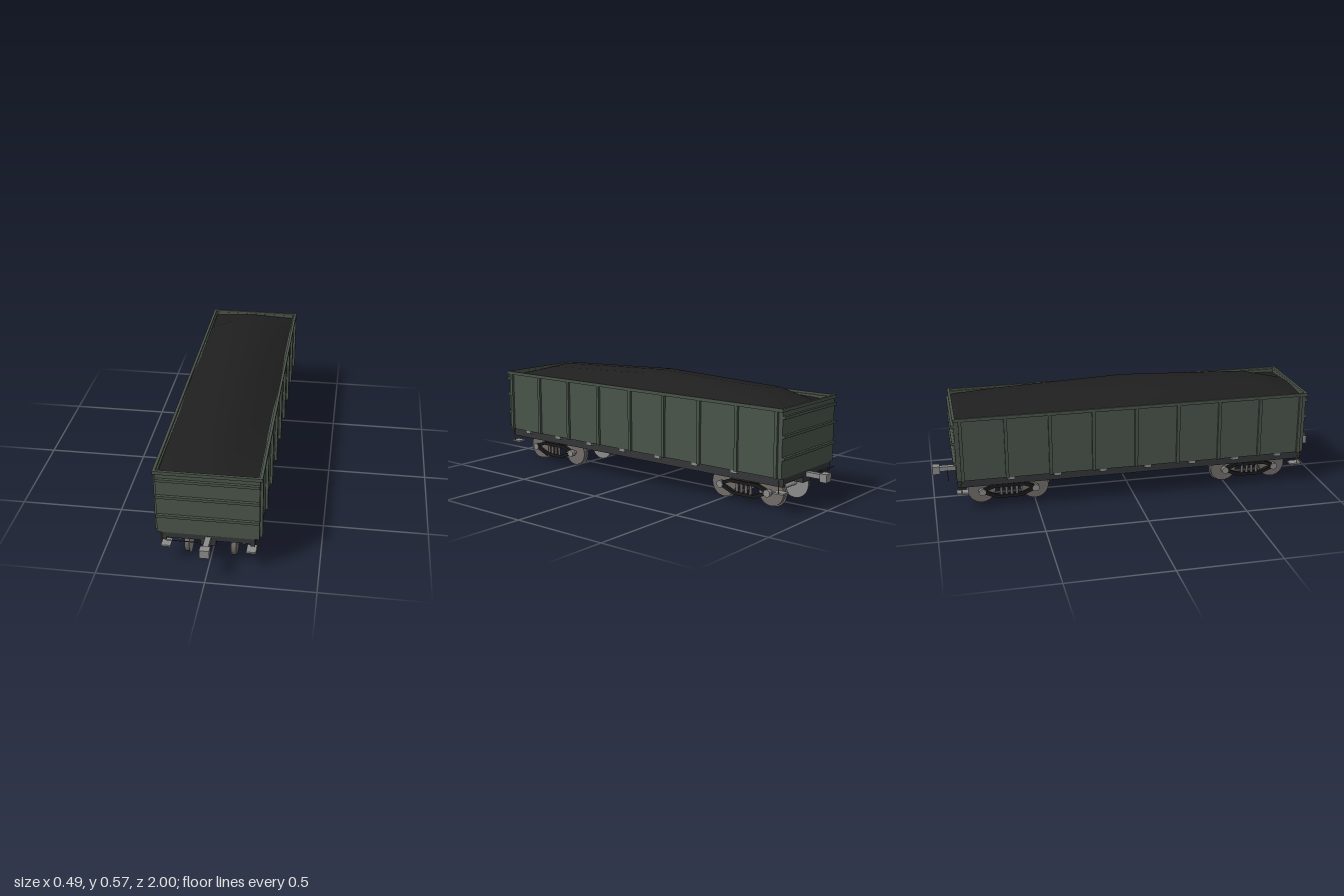
import * as THREE from 'three';

const mat = (color, side = THREE.FrontSide) => new THREE.MeshStandardMaterial({ color, side });
const GREEN = mat(0x4a544a), DARK = mat(0x333537), BLACK = mat(0x1a1a1a);
const GREY = mat(0x8c8c8c), STEEL = mat(0x726c68), BRASS = mat(0x9a7514);
const COAL = mat(0x1f1f1f, THREE.DoubleSide);

function add(parent, name, geometry, material, x = 0, y = 0, z = 0) {
  const mesh = new THREE.Mesh(geometry, material);
  mesh.name = name;
  mesh.position.set(x, y, z);
  parent.add(mesh);
  return mesh;
}

// Box given by its lower and upper limits on each axis
function box(parent, name, material, [x0, x1], [y0, y1], [z0, z1]) {
  return add(parent, name, new THREE.BoxGeometry(x1 - x0, y1 - y0, z1 - z0), material,
    (x0 + x1) / 2, (y0 + y1) / 2, (z0 + z1) / 2);
}

// Same limits on the other side of an axis
const flip = ([a, b], s) => (s > 0 ? [a, b] : [-b, -a]);

const rodX = (r, length, sides = 16) =>
  new THREE.CylinderGeometry(r, r, length, sides).rotateZ(Math.PI / 2);
const rodZ = (r, length, sides = 24) =>
  new THREE.CylinderGeometry(r, r, length, sides).rotateX(Math.PI / 2);

function makeBody() {
  const g = new THREE.Group();
  g.name = 'body';
  for (const s of [-1, 1]) {
    box(g, 'sideWall', GREEN, flip([0.222, 0.231], s), [0.177, 0.49], [-0.888, 0.888]);
    box(g, 'endWall', GREEN, [-0.231, 0.231], [0.177, 0.49], flip([0.88, 0.889], s));
    box(g, 'sideRim', GREEN, flip([0.229, 0.242], s), [0.484, 0.5], [-0.894, 0.894]);
    box(g, 'endRim', GREEN, [-0.23, 0.23], [0.484, 0.5], flip([0.881, 0.894], s));
    for (const y of [0.27, 0.371, 0.458])
      box(g, 'endRib', GREEN, [-0.231, 0.231], [y - 0.0065, y + 0.0065], flip([0.886, 0.902], s));
    for (let i = -4; i <= 4; i++) {
      const z = i * 0.215;
      box(g, 'sideRib', GREEN, flip([0.23, 0.243], s), [0.177, 0.484], [z - 0.008, z + 0.008]);
    }
  }
  return g;
}

// Heaped load: a coarse sheet of heights that falls to the walls
function makeLoad() {
  const xs = [-0.23, -0.103, 0, 0.103, 0.23], zs = [-0.882, -0.665, 0, 0.665, 0.882];
  const wall = [0.472, 0.482, 0.49, 0.482, 0.472];
  const shoulder = [0.478, 0.531, 0.558, 0.531, 0.478];
  const crown = [0.484, 0.538, 0.566, 0.538, 0.484];
  const geo = new THREE.PlaneGeometry(1, 1, 4, 4).rotateX(-Math.PI / 2);
  const p = geo.attributes.position;
  for (let i = 0; i < p.count; i++) {
    const c = i % 5, r = Math.floor(i / 5);
    p.setXYZ(i, xs[c], [wall, shoulder, crown][Math.min(c, 4 - c)][r], zs[r]);
  }
  geo.computeVertexNormals();
  const mesh = new THREE.Mesh(geo, COAL);
  mesh.name = 'coalLoad';
  return mesh;
}

function makeUnderframe() {
  const g = new THREE.Group();
  g.name = 'underframe';
  box(g, 'floorSlab', DARK, [-0.21, 0.21], [0.149, 0.178], [-0.887, 0.887]);
  box(g, 'centreSill', DARK, [-0.035, 0.035], [0.12, 0.15], [-0.885, 0.885]);
  for (const s of [-1, 1]) {
    box(g, 'sideSill', DARK, flip([0.19, 0.2105], s), [0.134, 0.177], [-0.885, 0.885]);
    // Coupler and its release rod
    box(g, 'couplerShank', GREY, [-0.013, 0.013], [0.146, 0.169], flip([0.88, 0.97], s));
    box(g, 'couplerHead', GREY, [-0.0225, 0.0225], [0.135, 0.175], flip([0.964, 1], s));
    add(g, 'releaseRod', rodX(0.002, 0.142, 8), DARK, -0.11, 0.164, s * 0.927);
    // Door hinges along the sill
    for (let i = 0; i < 7; i++) {
      const z = 0.754 - i * 0.23;
      box(g, 'doorHinge', GREY, flip([0.205, 0.227], s), [0.162, 0.178], [z - 0.018, z + 0.018]);
    }
    // Corner steps and handrails
    for (const e of [-1, 1]) {
      box(g, 'cornerStep', GREY, flip([0.172, 0.216], s), [0.099, 0.107], flip([0.835, 0.892], e));
      add(g, 'handrail', new THREE.CylinderGeometry(0.002, 0.002, 0.073, 8), BRASS,
        s * 0.219, 0.142, e * 0.868);
    }
  }
  // Brake equipment
  add(g, 'airTank', rodZ(0.032, 0.16), GREY, -0.068, 0.115, -0.083);
  add(g, 'brakeCylinder', rodZ(0.023, 0.07), GREY, 0.083, 0.114, 0.175);
  return g;
}

function makeWheelset() {
  const g = new THREE.Group();
  g.name = 'wheelset';
  add(g, 'axle', rodX(0.01, 0.3), GREY);
  for (const s of [-1, 1]) {
    add(g, 'wheel', rodX(0.068, 0.021, 32), STEEL, s * 0.1085);
    add(g, 'flange', rodX(0.074, 0.004, 32), GREY, s * 0.0965);
    add(g, 'axleBox', rodX(0.0178, 0.021), GREY, s * 0.1475);
  }
  return g;
}

// Square bar between two points of the z-y plane
function strut(parent, x, [z0, y0], [z1, y1]) {
  const length = Math.hypot(z1 - z0, y1 - y0);
  const mesh = add(parent, 'sideFrameBar', new THREE.BoxGeometry(0.017, 0.016, length + 0.008), BLACK,
    x, (y0 + y1) / 2, (z0 + z1) / 2);
  mesh.rotation.x = -Math.atan2(y1 - y0, z1 - z0);
}

function makeBogie() {
  const g = new THREE.Group();
  g.name = 'bogie';
  box(g, 'bolster', DARK, [-0.145, 0.145], [0.083, 0.118], [-0.035, 0.035]);
  add(g, 'pivot', new THREE.CylinderGeometry(0.03, 0.03, 0.032, 20), DARK, 0, 0.134, 0);
  for (const s of [-1, 1]) {
    const x = s * 0.147;
    // Side frame: straight top, hanging bottom and arms to the axle boxes
    strut(g, x, [-0.075, 0.101], [0.075, 0.101]);
    strut(g, x, [-0.06, 0.044], [0.06, 0.044]);
    for (const e of [-1, 1]) {
      strut(g, x, [e * 0.075, 0.101], [e * 0.125, 0.082]);
      strut(g, x, [e * 0.06, 0.044], [e * 0.122, 0.07]);
    }
    for (let i = -1.5; i <= 1.5; i++)
      add(g, 'spring', new THREE.CylinderGeometry(0.007, 0.007, 0.05, 12), STEEL, x, 0.072, i * 0.026);
    const wheelset = makeWheelset();
    wheelset.position.set(0, 0.074, s * 0.134);
    g.add(wheelset);
  }
  return g;
}

export function createModel() {
  const model = new THREE.Group();
  model.name = 'gondolaWagon';
  model.add(makeBody(), makeLoad(), makeUnderframe());
  for (const z of [-0.632, 0.632]) {
    const bogie = makeBogie();
    bogie.position.z = z;
    model.add(bogie);
  }
  return model;
}
